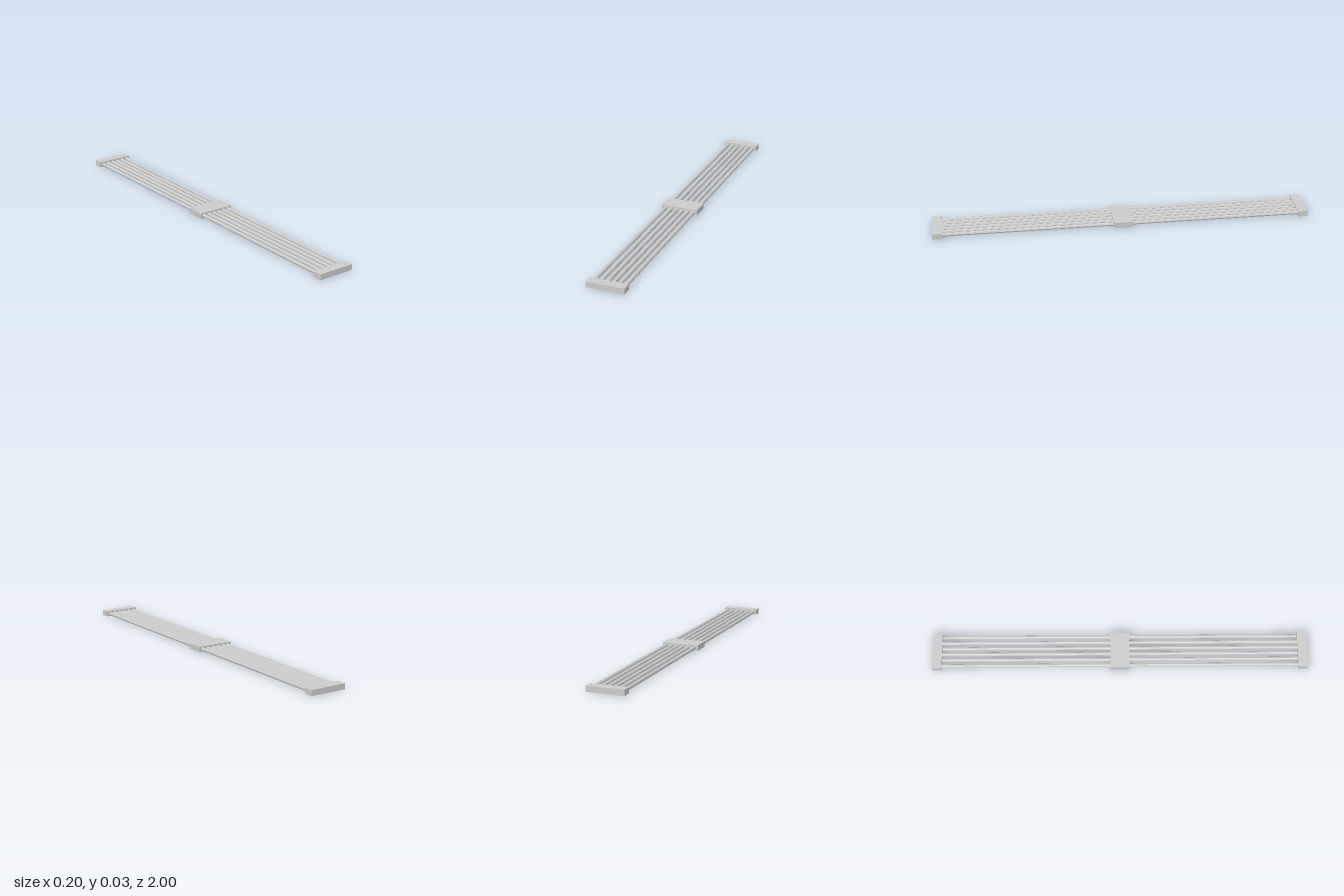
import * as THREE from 'three';

export function createModel() {
  const model = new THREE.Group();
  const material = new THREE.MeshStandardMaterial({ color: 0xcccccc, flatShading: true });
  const width = 0.2, height = 0.03, midY = height / 2;

  const add = (name, geometry, x, z) => {
    const mesh = new THREE.Mesh(geometry, material);
    mesh.name = name;
    mesh.position.set(x, midY, z);
    model.add(mesh);
  };

  // Clamping blocks at both ends and across the middle
  const endGeometry = new THREE.BoxGeometry(width, height, 0.05);
  add('frontEndBlock', endGeometry, 0, 0.975);
  add('backEndBlock', endGeometry, 0, -0.975);
  add('middleBlock', new THREE.BoxGeometry(width, height, 0.1), 0, 0);

  // Six parallel rods, running between the end blocks
  const rodCount = 6, spacing = 0.032;
  const rodGeometry = new THREE.CylinderGeometry(0.01, 0.01, 1.92, 8).rotateX(Math.PI / 2);
  for (let i = 0; i < rodCount; i++) {
    add(`rod${i + 1}`, rodGeometry, (i - (rodCount - 1) / 2) * spacing, 0);
  }

  return model;
}
